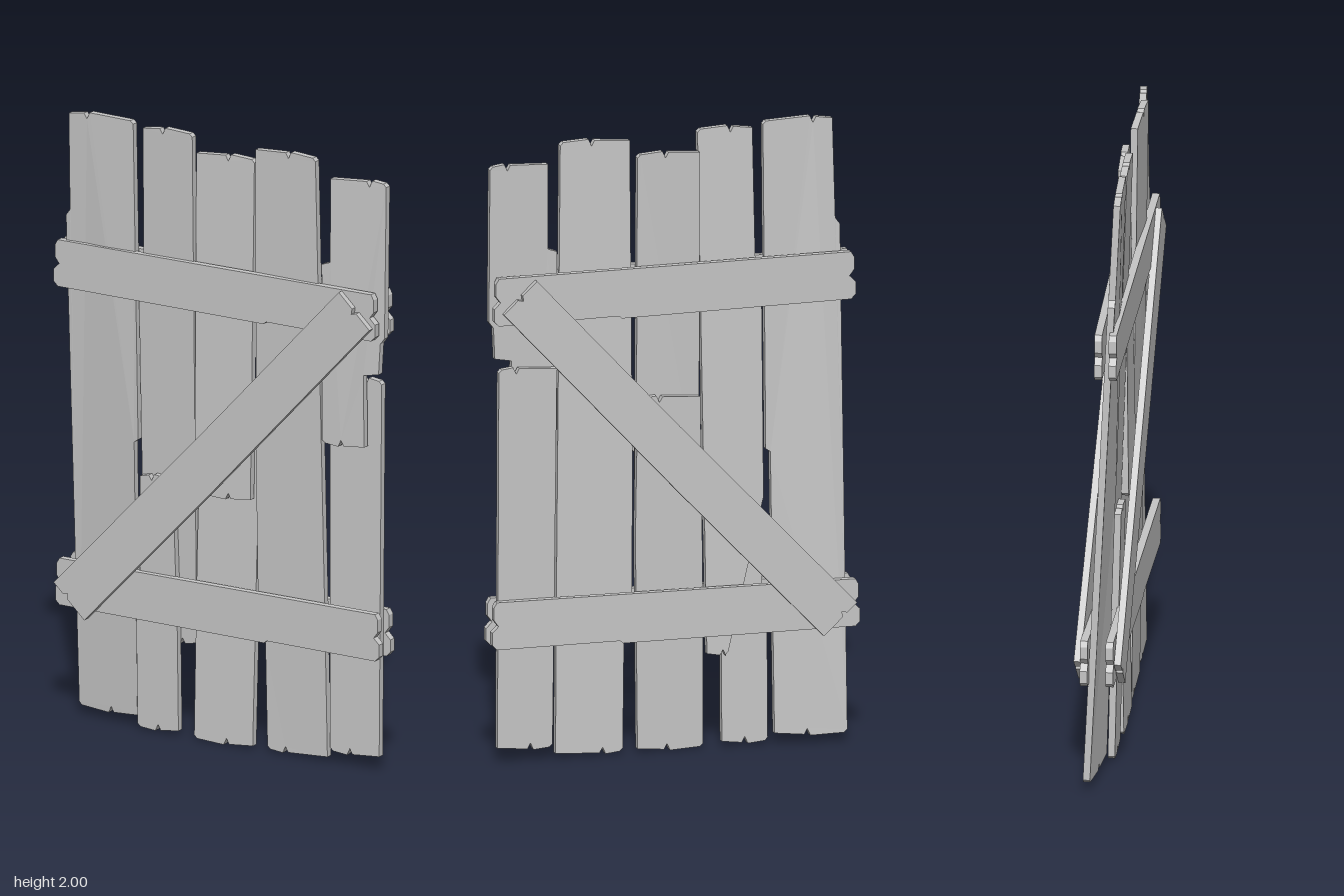
import * as THREE from 'three';

const wood = new THREE.MeshStandardMaterial({ color: 0xc6c6c6 });
wood.name = 'grey wood';

// Straight-line depth between two positions
const lean = (a, za, b, zb) => (t) => za + ((zb - za) * (t - a)) / (b - a);

// Extrudes an outline and leans it so its middle plane follows zAt(x, y)
function board(name, points, thickness, zAt) {
  const shape = new THREE.Shape(points.map(([x, y]) => new THREE.Vector2(x, y)));
  const geo = new THREE.ExtrudeGeometry(shape, { depth: thickness, bevelEnabled: false });
  const pos = geo.attributes.position;
  for (let i = 0; i < pos.count; i++) {
    pos.setZ(i, pos.getZ(i) - thickness / 2 + zAt(pos.getX(i), pos.getY(i)));
  }
  geo.computeVertexNormals();
  const mesh = new THREE.Mesh(geo, wood);
  mesh.name = name;
  return mesh;
}

// Sawn end from a to b: a small split at fraction f, one corner worn back; dir is the outward y
function chippedEnd(a, b, y, dir, f) {
  const x = a + (b - a) * f;
  const s = Math.sign(b - a) * 0.01;
  return [[a, y - dir * 0.015], [a + s, y - dir * 0.005], [x - s, y],
    [x, y - dir * 0.022], [x + s, y - dir * 0.004], [b, y - dir * 0.012]];
}

// Upright plank, slightly twisted; each end is [left x, right x, y, left depth, right depth, split]
function plank(name, low, high, rightSide = [], leftSide = []) {
  const outline = [
    ...chippedEnd(low[0], low[1], low[2], -1, low[5]), ...rightSide,
    ...chippedEnd(high[1], high[0], high[2], 1, high[5]), ...leftSide];
  const lowDepth = lean(low[0], low[3], low[1], low[4]);
  const highDepth = lean(high[0], high[3], high[1], high[4]);
  return board(name, outline, 0.022,
    (x, y) => lean(low[2], lowDepth(x), high[2], highDepth(x))(y));
}

// Horizontal bar with a split in each end and a shallow step underneath
function crossbar(name, y, right, zLeft, zRight) {
  const end = (side, reach) => [[0.015, -0.075], [0, -0.06], [0, -0.02], [0.02, 0],
    [0.005, 0.02], [0.005, 0.06], [0.015, 0.077]].map(([d, dy]) => [side * (reach - d), y + dy]);
  const outline = [[0.17, y - 0.08], [0.18, y - 0.072], ...end(1, right), ...end(-1, 0.6).reverse()];
  return board(name, outline, 0.024, lean(-0.6, zLeft, 0.6, zRight));
}

// Slanted brace along a centre line, with split ends and slightly uneven edges
function brace(name, from, to, width, zLeft, zRight) {
  const start = new THREE.Vector2(...from);
  const along = new THREE.Vector2(...to).sub(start);
  const length = along.length();
  along.normalize();
  const h = width / 2;
  const outline = [[0, -h], [length * 0.45, -h - 0.004], [length, -h], [length, -0.01],
    [length - 0.015, 0], [length, 0.01], [length, h], [length * 0.55, h - 0.004],
    [0, h], [0, 0.03], [0.015, 0.02], [0, 0.01]]
    .map(([u, v]) => [start.x + along.x * u - along.y * v, start.y + along.y * u + along.x * v]);
  return board(name, outline, 0.022, lean(-0.6, zLeft, 0.6, zRight));
}

export function createModel() {
  const door = new THREE.Group();
  door.name = 'plankDoor';

  // Upright planks, some broken into an upper and a lower piece
  door.add(
    plank('outerPlankRight', [-0.56, -0.33, 0.03, -0.042, -0.015, 0.55],
      [-0.54, -0.31, 2, 0.053, 0.043, 0.72],
      [[-0.325, 0.94], [-0.31, 0.95]], [[-0.545, 1.67], [-0.56, 1.65]]),
    plank('secondPlankUpper', [-0.18, -0.11, 0.3, -0.012, -0.012, 0.25],
      [-0.275, -0.095, 1.99, 0.042, 0.04, 0.6],
      [], [[-0.28, 1.57], [-0.3, 1.43], [-0.3, 0.8]]),
    plank('secondPlankLower', [-0.315, -0.165, 0.01, 0.008, 0.008, 0.5],
      [-0.295, -0.175, 0.85, 0.026, 0.026, 0.65],
      [[-0.165, 0.35]], [[-0.3, 0.5], [-0.315, 0.35]]),
    plank('middlePlankUpper', [-0.095, 0.11, 0.81, 0.026, 0.026, 0.6],
      [-0.095, 0.112, 1.93, 0.014, 0.005, 0.45]),
    plank('middlePlankLower', [-0.105, 0.11, 0.005, 0.012, 0.012, 0.55],
      [-0.09, 0.115, 1.15, -0.006, -0.006, 0.35],
      [[0.12, 0.7]], [[-0.1, 0.6]]),
    plank('fourthPlank', [0.16, 0.38, 0.01, 0.005, 0.005, 0.3],
      [0.13, 0.355, 1.98, 0.028, 0.036, 0.45],
      [[0.375, 0.5]], [[0.125, 0.9], [0.13, 0.38], [0.155, 0.36]]),
    plank('outerPlankLeftUpper', [0.37, 0.525, 1.045, 0.022, 0.022, 0.45],
      [0.4, 0.595, 1.925, 0.02, 0.003, 0.3],
      [[0.52, 1.29], [0.575, 1.3], [0.58, 1.4], [0.595, 1.42]], [[0.4, 1.64], [0.37, 1.63]]),
    plank('outerPlankLeftLower', [0.39, 0.57, 0.04, 0.005, 0.005, 0.4],
      [0.38, 0.57, 1.275, -0.01, -0.01, 0.3]),
  );

  // Crossbars on both faces
  door.add(
    crossbar('lowerFrontCrossbar', 0.45, 0.595, 0.035, 0.045),
    crossbar('upperFrontCrossbar', 1.49, 0.58, 0.045, 0.045),
    crossbar('lowerBackCrossbar', 0.45, 0.595, -0.046, -0.022),
    crossbar('upperBackCrossbar', 1.49, 0.59, 0, -0.028),
  );

  // Diagonal braces from the lower right to the upper left
  door.add(
    brace('frontBrace', [-0.535, 0.4], [0.515, 1.51], 0.155, 0.06, 0.066),
    brace('backBrace', [-0.53, 0.405], [0.51, 1.505], 0.148, -0.068, -0.043),
  );

  return door;
}
